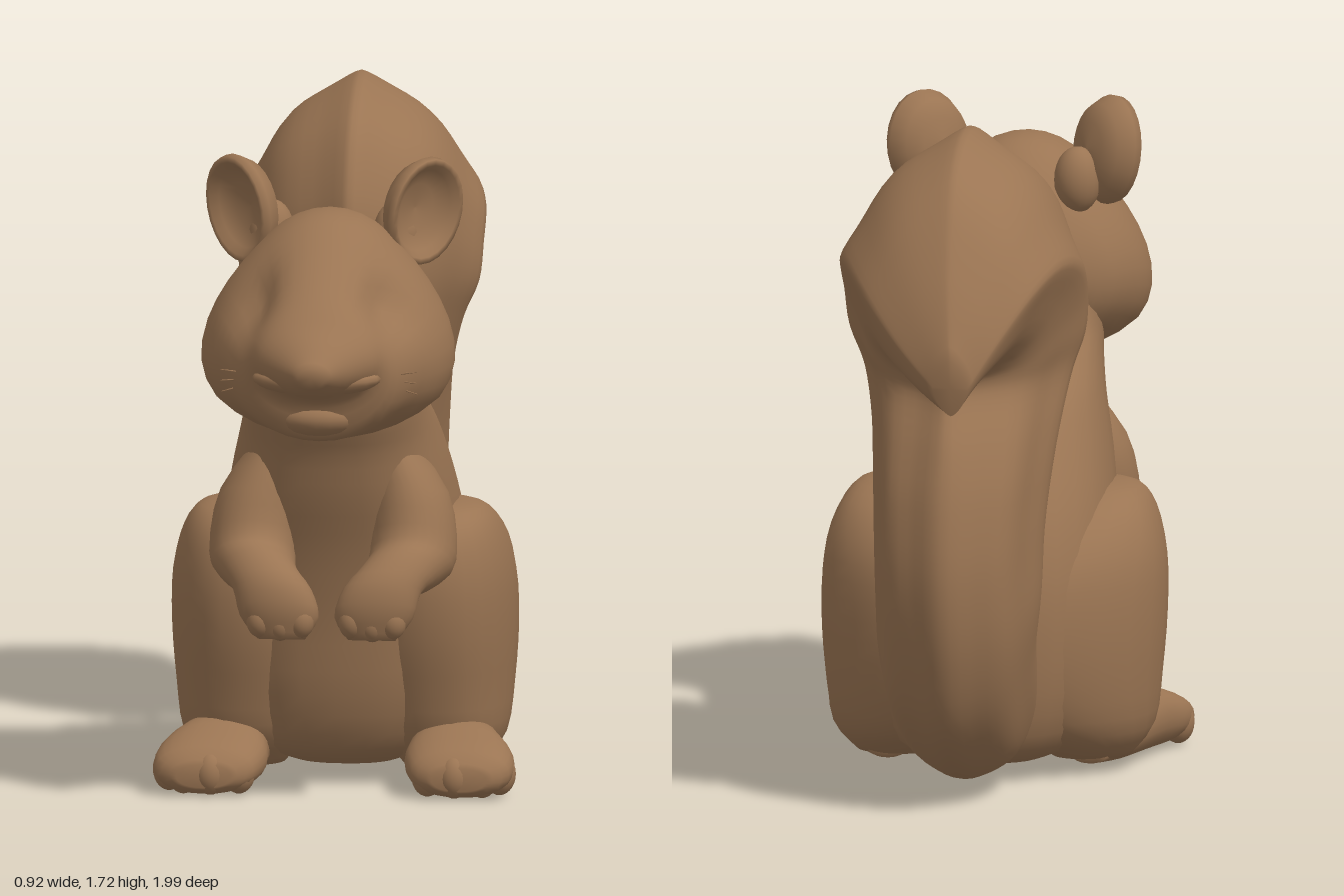
import * as THREE from 'three';

const fur = new THREE.MeshStandardMaterial({ color: 0x9b7553 });
fur.name = 'brown fur';

const add = (parent, name, geometry) => {
  const mesh = new THREE.Mesh(geometry, fur);
  mesh.name = name;
  parent.add(mesh);
  return mesh;
};

// Smooth skin through oval rings. Each ring: [zA, yA, zB, yB, half width, centre x],
// where A and B are opposite ends of the ring in the side plane.
// power below 1 makes a ring boxy, above 1 makes it pointed.
function loft(rings, { side = 1, seg = 28, steps = 3, power = () => 1, shape = () => 1, bend = null } = {}) {
  const at = (i) => rings[Math.max(0, Math.min(rings.length - 1, i))];
  const fine = [];
  for (let i = 0; i < rings.length - 1; i++) {
    const last = i === rings.length - 2;
    for (let s = 0; s < steps + (last ? 1 : 0); s++) {
      const t = s / steps;
      fine.push([0, 1, 2, 3, 4, 5].map((k) => {
        const [a, b, c, d] = [at(i - 1), at(i), at(i + 1), at(i + 2)].map((r) => r[k] ?? 0);
        return b + 0.5 * t * (c - a + t * (2 * a - 5 * b + 4 * c - d + t * (3 * (b - c) + d - a)));
      }));
    }
  }
  const pos = [], idx = [], n = fine.length;
  fine.forEach(([zA, yA, zB, yB, w, cx], r) => {
    const t = r / (n - 1);
    const pw = (v) => Math.sign(v) * Math.abs(v) ** power(t);
    for (let j = 0; j < seg; j++) {
      const a = (j / seg) * Math.PI * 2, f = shape(a, t);
      const u = pw(Math.cos(a)) * f, v = pw(Math.sin(a)) * f;
      pos.push(side * (cx + u * w), (yA + yB) / 2 + (v * (yA - yB)) / 2, (zA + zB) / 2 + (v * (zA - zB)) / 2);
    }
  });
  for (let r = 0; r < n - 1; r++) for (let j = 0; j < seg; j++) {
    const a = r * seg + j, b = r * seg + ((j + 1) % seg);
    idx.push(a, b, a + seg, b, b + seg, a + seg);
  }
  // end caps
  for (const r of [0, n - 1]) {
    const [zA, yA, zB, yB, , cx] = fine[r], c = pos.length / 3;
    pos.push(side * cx, (yA + yB) / 2, (zA + zB) / 2);
    for (let j = 0; j < seg; j++) {
      const a = r * seg + j, b = r * seg + ((j + 1) % seg);
      idx.push(...(r ? [a, b, c] : [b, a, c]));
    }
  }
  if (bend) for (let i = 0; i < pos.length; i += 3) {
    const p = bend(pos[i], pos[i + 1], pos[i + 2]);
    for (let k = 0; k < 3; k++) pos[i + k] = p[k];
  }
  // keep the faces pointing outward
  let volume = 0;
  const P = (i) => new THREE.Vector3().fromArray(pos, i * 3);
  for (let i = 0; i < idx.length; i += 3) volume += P(idx[i]).dot(P(idx[i + 1]).cross(P(idx[i + 2])));
  if (volume < 0) idx.reverse();
  const g = new THREE.BufferGeometry();
  g.setAttribute('position', new THREE.Float32BufferAttribute(pos, 3));
  g.setIndex(idx);
  g.computeVertexNormals();
  return g;
}

function ellipsoid(parent, name, centre, radii) {
  const mesh = add(parent, name, new THREE.SphereGeometry(1, 20, 14));
  mesh.position.set(...centre);
  mesh.scale.set(...radii);
}

export function createModel() {
  const model = new THREE.Group();
  model.name = 'squirrel';

  // torso, from the rump up into the neck
  add(model, 'body', loft([
    [0.1, 0.04, -0.2, 0.04, 0.14], [0.24, 0.1, -0.31, 0.09, 0.24], [0.31, 0.25, -0.36, 0.24, 0.3],
    [0.35, 0.45, -0.37, 0.47, 0.315], [0.4, 0.63, -0.32, 0.66, 0.305], [0.46, 0.78, -0.22, 0.82, 0.28],
    [0.5, 0.9, -0.1, 0.95, 0.25], [0.54, 0.98, 0.05, 1.03, 0.23], [0.54, 1.04, 0.19, 1.11, 0.22],
    [0.5, 1.2, 0.25, 1.23, 0.21],
  ], { power: () => 0.84 }));

  // head: full cheeks, narrow brow, hollows around the eyes, chin set back below the snout
  const head = new THREE.Group();
  head.name = 'head';
  model.add(head);
  add(head, 'skull', loft([
    [1.0, 1.215, 0.99, 1.165, 0.035], [0.95, 1.265, 0.94, 1.135, 0.09], [0.9, 1.305, 0.88, 1.115, 0.14],
    [0.855, 1.345, 0.845, 1.085, 0.165], [0.8, 1.39, 0.81, 1.0, 0.195], [0.7, 1.465, 0.7, 0.985, 0.25],
    [0.6, 1.525, 0.6, 0.965, 0.295], [0.5, 1.54, 0.5, 0.965, 0.312], [0.4, 1.52, 0.4, 1.0, 0.29],
    [0.3, 1.43, 0.3, 1.05, 0.22], [0.225, 1.28, 0.225, 1.16, 0.08],
  ], {
    seg: 36,
    bend: (x, y, z) => {
      const d = Math.exp(-(((Math.abs(x) - 0.19) / 0.07) ** 2 + ((y - 1.34) / 0.07) ** 2 + ((z - 0.74) / 0.1) ** 2));
      const cheek = 1 + 0.34 * Math.max(-0.7, Math.min(0.6, (1.24 - y) / 0.3)) * Math.min(1, Math.max(0, (1.05 - z) / 0.4));
      return [x * cheek * (1 - 0.18 * d), y - 0.012 * d, z - 0.03 * d];
    },
  }));
  ellipsoid(head, 'upperLip', [0, 1.165, 0.84], [0.165, 0.045, 0.1]);
  ellipsoid(head, 'lowerLip', [0, 1.055, 0.765], [0.12, 0.055, 0.09]);

  // rounded cup for an ear: thick back, rim and hollow
  const earShape = new THREE.LatheGeometry([
    [0, -0.075], [0.06, -0.068], [0.1, -0.045], [0.12, -0.005], [0.117, 0.015], [0.104, 0.015],
    [0.09, -0.005], [0.055, -0.03], [0, -0.036],
  ].map(([x, y]) => new THREE.Vector2(x, y)), 24);
  earShape.rotateX(Math.PI / 2);
  earShape.scale(1, 1.17, 1);

  for (const side of [1, -1]) {
    const label = side > 0 ? 'left' : 'right';

    const ear = add(head, label + 'Ear', earShape);
    ear.position.set(side * 0.235, 1.52, 0.4);
    ear.rotation.set(0, side * 0.82, -side * 0.15, 'ZYX');
    ellipsoid(head, label + 'EarBase', [side * 0.16, 1.45, 0.345], [0.06, 0.085, 0.06]);

    // whiskers
    for (let i = 0; i < 3; i++) {
      const whisker = add(head, label + 'Whisker', new THREE.CylinderGeometry(0.001, 0.003, 0.06, 5));
      whisker.position.set(side * 0.22, 1.17 - i * 0.025, 0.79 - i * 0.015);
      whisker.rotation.z = -side * (1.45 + i * 0.2);
    }

    add(model, label + 'Arm', loft([
      [0.4, 0.95, 0.22, 0.92, 0.04, 0.14], [0.455, 0.81, 0.2, 0.76, 0.1, 0.19],
      [0.49, 0.7, 0.26, 0.56, 0.11, 0.205], [0.545, 0.665, 0.42, 0.53, 0.1, 0.18],
      [0.6, 0.6, 0.48, 0.53, 0.1, 0.14], [0.612, 0.52, 0.505, 0.475, 0.1, 0.12],
      [0.59, 0.445, 0.53, 0.435, 0.06, 0.115],
    ], { side }));
    for (let i = 0; i < 3; i++)
      ellipsoid(model, label + 'Finger', [side * (0.065 + i * 0.052), 0.49 - (i === 1 ? 0.008 : 0), 0.567], [0.035, 0.045, 0.037]);

    // thigh, merging into the belly and drawn in toward the tail
    add(model, label + 'Haunch', loft([
      [0.12, 0.035, -0.08, 0.035, 0.1, 0.25], [0.23, 0.12, -0.22, 0.11, 0.16, 0.25],
      [0.28, 0.25, -0.31, 0.25, 0.19, 0.24], [0.325, 0.4, -0.34, 0.4, 0.205, 0.235],
      [0.34, 0.54, -0.3, 0.54, 0.2, 0.235], [0.315, 0.65, -0.18, 0.65, 0.17, 0.235],
      [0.25, 0.71, -0.05, 0.71, 0.125, 0.235], [0.16, 0.725, 0.04, 0.725, 0.05, 0.24],
    ], {
      side, power: () => 0.88,
      bend: (x, y, z) => [x - (z < 0 ? side * Math.min(0.16, 1.6 * z * z) : 0), y, z],
    }));

    add(model, label + 'Foot', loft([
      [0.43, 0.09, 0.43, 0.03, 0.07, 0.325], [0.39, 0.13, 0.4, 0.01, 0.125, 0.325],
      [0.3, 0.16, 0.3, 0.005, 0.14, 0.315], [0.2, 0.18, 0.2, 0.005, 0.12, 0.3],
      [0.02, 0.16, 0.02, 0.015, 0.1, 0.275], [-0.08, 0.09, -0.08, 0.025, 0.05, 0.26],
    ], { side, power: () => 0.9 }));
    [[0.24, 0.37], [0.31, 0.395], [0.38, 0.38], [0.42, 0.335]].forEach(([x, z]) =>
      ellipsoid(model, label + 'Toe', [side * x, 0.062, z], [0.042, 0.055, 0.045]));
  }

  // big upright tail: slim stem, wide keeled plume curling backward, furrowed fur
  add(model, 'tail', loft([
    [-0.18, 0.08, -0.18, 0.28, 0.11], [-0.33, 0.035, -0.3, 0.42, 0.16], [-0.56, 0.075, -0.33, 0.53, 0.185],
    [-0.76, 0.21, -0.35, 0.62, 0.2], [-0.86, 0.4, -0.34, 0.7, 0.21, -0.01], [-0.9, 0.61, -0.28, 0.8, 0.215, -0.01],
    [-0.88, 0.8, -0.2, 0.9, 0.225, -0.01], [-0.83, 0.95, -0.115, 1.02, 0.24, -0.01], [-0.77, 1.06, -0.055, 1.15, 0.265, -0.005],
    [-0.765, 1.1, -0.035, 1.3, 0.3], [-0.78, 1.11, -0.06, 1.48, 0.31], [-0.8, 1.11, -0.19, 1.65, 0.31],
    [-0.84, 1.11, -0.46, 1.72, 0.28, -0.005], [-0.89, 1.1, -0.73, 1.635, 0.22, -0.015],
    [-0.94, 1.09, -0.9, 1.42, 0.13, -0.03], [-0.965, 1.075, -0.99, 1.22, 0.045, -0.05],
  ], {
    seg: 56, steps: 4,
    power: (t) => 1 + 0.35 * THREE.MathUtils.smoothstep(t, 0.4, 0.6),
    shape: (a, t) => 1 + 0.03 * Math.sin(Math.PI * t) * (Math.cos(8 * (a - Math.PI / 2)) - 0.6),
  }));

  return model;
}
